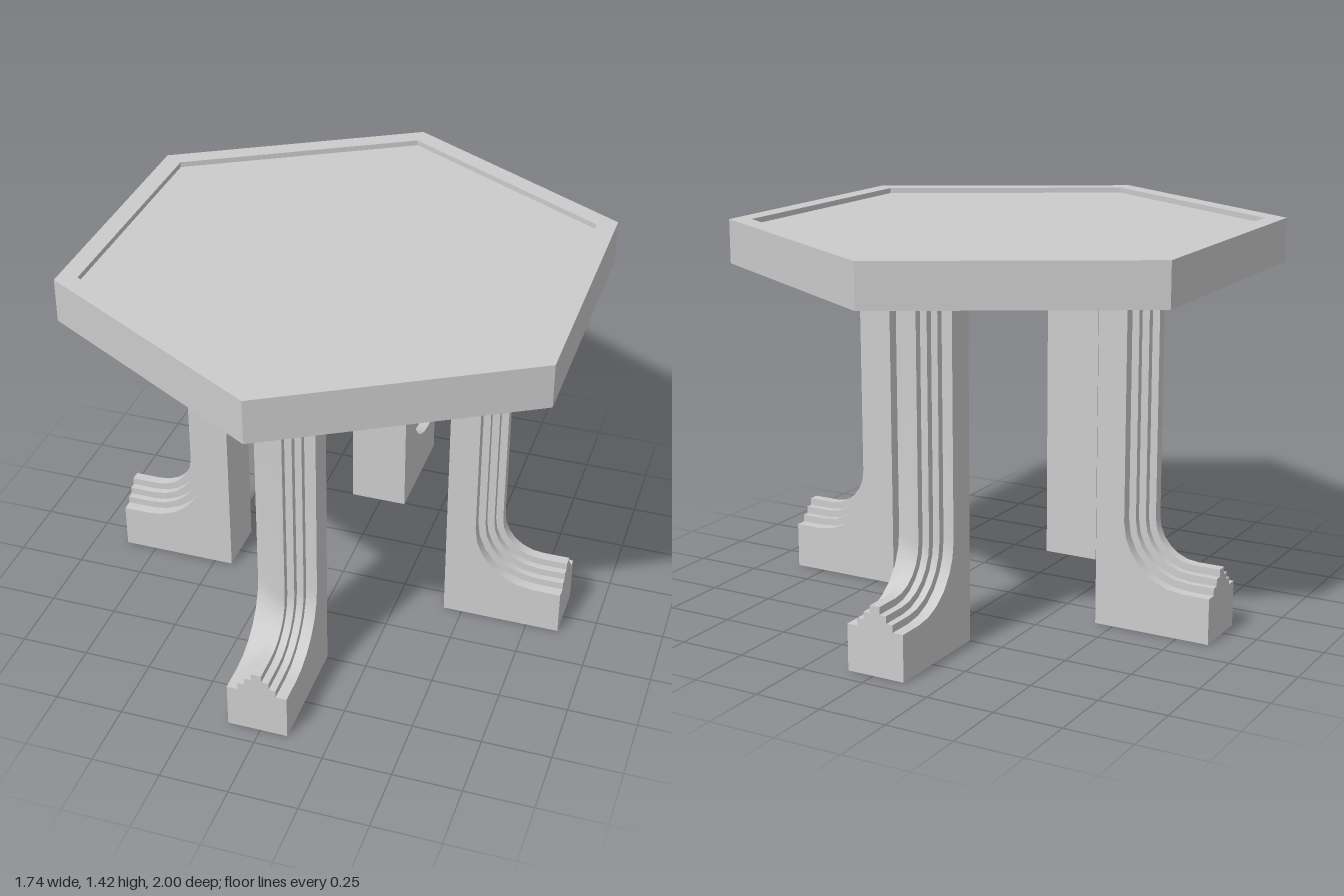
import * as THREE from 'three';
import { toCreasedNormals } from 'three/addons/utils/BufferGeometryUtils.js';

const TOP = 1.26, INNER = 0.43, OUTER = 0.62, TOE = 0.87, FOOT = 0.25, RADIUS = 0.15;

// Stepped cross-section: [sideways position, depth below the ridge], left to right
function steppedSection() {
  const half = [0.11, 0.07, 0.045, 0.019];
  const depth = [0.081, 0.054, 0.027, 0];
  const left = [];
  half.forEach((w, i) => {
    if (i > 0) left.push([-w, depth[i - 1]]);
    left.push([-w, depth[i]]);
  });
  return [...left, ...left.map(([u, d]) => [-u, d]).reverse()];
}

// Leg pointing along +x: the section is swept down the post and out along the foot
function legGeometry() {
  const section = steppedSection();
  const cx = OUTER + RADIUS, cy = FOOT + RADIUS, steps = 6;

  // Each station gives the ridge surface at a depth, and the matching inner point
  const stations = [{ outer: d => [OUTER - d, TOP], inner: [INNER, TOP] }];
  for (let i = 0; i <= steps; i++) {
    const a = (i / steps) * Math.PI / 2;
    const inner = i <= steps / 2
      ? [INNER, cy * (1 - Math.tan(a))]
      : [cx - (cx - INNER) / Math.tan(a), 0];
    stations.push({
      outer: d => [cx - (RADIUS + d) * Math.cos(a), cy - (RADIUS + d) * Math.sin(a)],
      inner,
    });
  }
  stations.push({ outer: d => [TOE, FOOT - d], inner: [TOE, 0] });

  const rings = stations.map(({ outer, inner }) => {
    const ring = section.map(([u, d]) => new THREE.Vector3(...outer(d), u));
    for (const s of [1, -1]) ring.push(new THREE.Vector3(...inner, s * section.at(-1)[0]));
    return ring;
  });

  const points = [];
  const n = rings[0].length;
  for (let k = 0; k < rings.length - 1; k++) {
    for (let j = 0; j < n; j++) {
      const a = rings[k][j], b = rings[k][(j + 1) % n];
      const c = rings[k + 1][j], d = rings[k + 1][(j + 1) % n];
      points.push(a, b, c, b, d, c);
    }
  }

  // Toe cap
  const toe = rings.at(-1);
  const flat = toe.map(p => new THREE.Vector2(p.z, p.y));
  for (const tri of THREE.ShapeUtils.triangulateShape(flat, [])) {
    if (THREE.ShapeUtils.area(tri.map(i => flat[i])) > 0) tri.reverse();
    points.push(...tri.map(i => toe[i]));
  }

  const geometry = new THREE.BufferGeometry().setFromPoints(points);
  return toCreasedNormals(geometry, 0.6);
}

export function createModel() {
  const model = new THREE.Group();

  // Hexagonal top with a shallow recess inside the rim
  const profile = [[0, TOP], [1, TOP], [1, 1.42], [0.92, 1.42], [0.92, 1.4], [0, 1.4]];
  const top = new THREE.Mesh(
    new THREE.LatheGeometry(profile.map(p => new THREE.Vector2(...p)), 6),
    new THREE.MeshStandardMaterial({ color: 0xcccccc, flatShading: true })
  );
  top.name = 'tableTop';
  model.add(top);

  // Four legs; the front and back pair stand a little further out
  const geometry = legGeometry();
  const material = new THREE.MeshStandardMaterial({ color: 0xcccccc });
  const legs = [
    ['leftLeg', 0, 0, -0.02],
    ['rightLeg', Math.PI, 0, -0.02],
    ['frontLeg', -Math.PI / 2, -0.01, 0.064],
    ['backLeg', Math.PI / 2, -0.01, -0.064],
  ];
  for (const [name, turn, x, z] of legs) {
    const leg = new THREE.Mesh(geometry, material);
    leg.name = name;
    leg.rotation.y = turn;
    leg.position.set(x, 0, z);
    model.add(leg);
  }
  return model;
}
